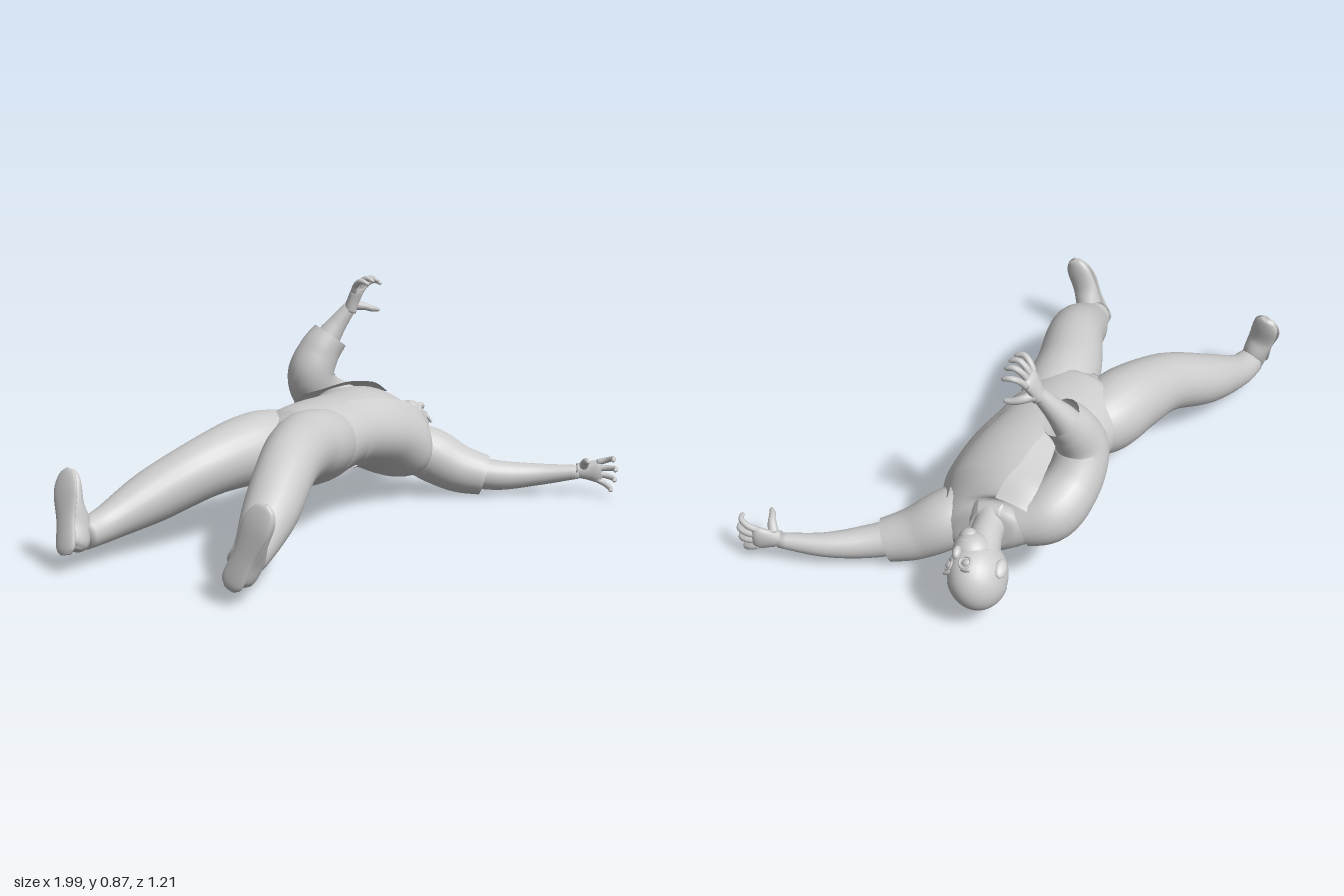
import * as THREE from 'three';

const V = (x, y, z) => new THREE.Vector3(x, y, z);
const material = new THREE.MeshStandardMaterial({ color: 0xcccccc });
const openMaterial = new THREE.MeshStandardMaterial({ color: 0xcccccc, side: THREE.DoubleSide });

// Elliptical sections [x, y, z, halfWidth, halfHeight, roll] joined along a smooth path.
// up: direction of the section height; arc: opened section [from, to]; lift: flare at arc edges.
function loft(sections, { up = V(0, 1, 0), sides = 24, steps = 6, arc = null, lift = 0, open = false } = {}) {
  const path = new THREE.CatmullRomCurve3(sections.map(s => V(s[0], s[1], s[2])), false, 'catmullrom', 0.5);
  const size = new THREE.CatmullRomCurve3(
    sections.map(s => V(s[3], s[4] ?? s[3], s[5] ?? 0)), false, 'catmullrom', 0.5);
  const rows = (sections.length - 1) * steps;
  const cols = arc ? sides + 1 : sides;
  const [from, to] = arc ?? [0, Math.PI * 2];
  const positions = [], index = [];
  for (let i = 0; i <= rows; i++) {
    const t = i / rows, c = path.getPoint(t), T = path.getTangent(t), r = size.getPoint(t);
    const S = T.clone().cross(up).normalize();
    const H = S.clone().cross(T);
    const W = S.clone().multiplyScalar(Math.cos(r.z)).addScaledVector(H, -Math.sin(r.z));
    const N = H.clone().multiplyScalar(Math.cos(r.z)).addScaledVector(S, Math.sin(r.z));
    for (let j = 0; j < cols; j++) {
      const k = j / sides, a = from + (to - from) * k;
      const e = lift * Math.abs(2 * k - 1) ** 8;
      const p = c.clone().addScaledVector(W, (r.x + e) * Math.cos(a)).addScaledVector(N, (r.y + e) * Math.sin(a));
      positions.push(p.x, p.y, p.z);
    }
  }
  for (let i = 0; i < rows; i++) {
    for (let j = 0; j < sides; j++) {
      const n = (j + 1) % cols;
      const a = i * cols + j, b = i * cols + n, c = a + cols, d = b + cols;
      index.push(a, c, b, b, c, d);
    }
  }
  if (!arc && !open) {
    const start = positions.length / 3, last = rows * cols;
    for (const s of [sections[0], sections[sections.length - 1]]) positions.push(s[0], s[1], s[2]);
    for (let j = 0; j < sides; j++) {
      const n = (j + 1) % sides;
      index.push(start, j, n, start + 1, last + n, last + j);
    }
  }
  const g = new THREE.BufferGeometry();
  g.setAttribute('position', new THREE.Float32BufferAttribute(positions, 3));
  g.setIndex(index);
  g.computeVertexNormals();
  return g;
}

function add(parent, name, geometry, mat = material) {
  const mesh = new THREE.Mesh(geometry, mat);
  mesh.name = name;
  parent.add(mesh);
  return mesh;
}

function ball(parent, name, pos, scale) {
  const mesh = add(parent, name, new THREE.SphereGeometry(1, 28, 20));
  mesh.position.set(...pos);
  mesh.scale.set(...scale);
  return mesh;
}

// Group whose y runs along 'along' and whose z leans toward 'facing'
function placed(name, origin, along, facing) {
  const g = new THREE.Group();
  const y = along.clone().normalize();
  const x = y.clone().cross(facing).normalize();
  g.quaternion.setFromRotationMatrix(new THREE.Matrix4().makeBasis(x, y, x.clone().cross(y)));
  g.position.copy(origin);
  g.name = name;
  return g;
}

// Half-closed hand: fingers along y, palm facing z, thumb on side s
function makeHand(name, origin, along, facing, s) {
  const hand = placed(name, origin, along, facing);
  hand.scale.setScalar(1.1);
  add(hand, 'palm', loft([
    [0, -0.02, 0, 0.026, 0.024], [0, 0.02, 0, 0.034, 0.02],
    [0, 0.055, 0.002, 0.042, 0.017], [0, 0.072, 0.005, 0.034, 0.011]], { up: V(0, 0, 1), sides: 16 }));
  [0.9, 1.05, 1, 0.8].forEach((len, i) => {
    const x = s * (0.032 - i * 0.021), fan = s * (0.022 - i * 0.016);
    add(hand, 'finger', loft([
      [x, 0.055, 0.002, 0.011], [x + fan * 0.5, 0.055 + 0.035 * len, 0.008, 0.0105],
      [x + fan, 0.055 + 0.06 * len, 0.026, 0.0095], [x + fan, 0.055 + 0.06 * len, 0.052, 0.007],
      [x + fan, 0.055 + 0.056 * len, 0.058, 0.001]], { up: V(1, 0, 0), sides: 10, steps: 4 }));
  });
  add(hand, 'thumb', loft([
    [s * 0.016, 0.005, 0.004, 0.018], [s * 0.04, 0.012, 0.03, 0.014],
    [s * 0.05, 0.014, 0.06, 0.011], [s * 0.052, 0.02, 0.083, 0.007],
    [s * 0.052, 0.022, 0.088, 0.001]], { up: V(1, 0, 0), sides: 10, steps: 4 }));
  return hand;
}

// Shoe from heel to toe, with a flat sole facing -x
function makeShoe(name, heel, toe) {
  const shoe = new THREE.Group();
  shoe.name = name;
  const at = (t, dx, w, h) => {
    const p = heel.clone().lerp(toe, t);
    return [p.x + dx, p.y, p.z, w, h];
  };
  const opts = { up: V(1, 0, 0), sides: 20 };
  add(shoe, 'upper', loft([at(-0.1, 0, 0.025, 0.025), at(0, 0.005, 0.045, 0.052), at(0.25, 0.008, 0.048, 0.056),
    at(0.55, -0.014, 0.052, 0.037), at(0.85, -0.02, 0.052, 0.026), at(1, -0.022, 0.032, 0.016),
    at(1.04, -0.022, 0.006, 0.004)], opts));
  add(shoe, 'sole', loft([at(-0.12, -0.04, 0.025, 0.01), at(0, -0.042, 0.046, 0.014), at(0.35, -0.04, 0.045, 0.014),
    at(0.75, -0.04, 0.058, 0.013), at(0.98, -0.032, 0.04, 0.011), at(1.06, -0.028, 0.006, 0.004)], opts));
  return shoe;
}

function makeHead() {
  const head = placed('head', V(0.79, 0.19, -0.305), V(0.86, -0.42, -0.28), V(0.5, 0.75, 0.43));
  ball(head, 'skull', [0, 0, 0], [0.095, 0.12, 0.114]);
  ball(head, 'jaw', [0, -0.06, 0.05], [0.068, 0.068, 0.068]);
  ball(head, 'chin', [0, -0.1, 0.085], [0.034, 0.03, 0.028]);
  ball(head, 'nose', [0, -0.025, 0.117], [0.014, 0.024, 0.016]);
  ball(head, 'mouth', [0, -0.068, 0.108], [0.028, 0.009, 0.012]);
  // Close-fitting cap over the crown
  const cap = add(head, 'cap', new THREE.SphereGeometry(1, 32, 14, 0, Math.PI * 2, 0, 1.25), openMaterial);
  cap.scale.set(0.098, 0.123, 0.117);
  cap.rotation.x = -0.25;
  for (const s of [-1, 1]) {
    ball(head, 'eye', [s * 0.037, 0.01, 0.099], [0.018, 0.014, 0.012]);
    const rim = add(head, 'eyeRim', new THREE.TorusGeometry(0.021, 0.004, 8, 24));
    rim.position.set(s * 0.037, 0.01, 0.104);
    rim.rotation.y = s * 0.35;
    ball(head, 'brow', [s * 0.037, 0.036, 0.097], [0.025, 0.007, 0.01]).rotation.z = s * 0.15;
    const ear = ball(head, 'ear', [s * 0.098, -0.01, -0.005], [0.012, 0.034, 0.022]);
    ear.rotation.y = -s * 0.4;
  }
  return head;
}

export function createModel() {
  const body = new THREE.Group();
  body.name = 'recliningFigure';

  // Torso, rolled so one shoulder lies lower than the other
  const trunk = [
    [-0.17, 0.325, -0.2, 0.1, 0.08, -0.1], [-0.1, 0.31, -0.2, 0.175, 0.14, -0.1],
    [-0.02, 0.306, -0.2, 0.2, 0.153, -0.1],
    [0.08, 0.315, -0.205, 0.202, 0.146, -0.08], [0.2, 0.318, -0.203, 0.196, 0.138, 0],
    [0.35, 0.303, -0.203, 0.216, 0.148, 0.15], [0.48, 0.26, -0.22, 0.25, 0.152, 0.35],
    [0.58, 0.233, -0.225, 0.222, 0.118, 0.42], [0.64, 0.24, -0.235, 0.1, 0.07, 0.4]];
  add(body, 'torso', loft(trunk, { sides: 40 }));
  // Open jacket wrapped around the back and sides
  const jacket = trunk.slice(4, 8).map(([x, y, z, w, h, r]) => [x, y, z, w + 0.008, h + 0.008, r]);
  jacket.unshift([0.12, 0.317, -0.205, 0.206, 0.15, -0.05]);
  add(body, 'jacket', loft(jacket, { sides: 40, arc: [2.0, 7.3], lift: 0.014 }), openMaterial);

  // Neck, collar and head
  add(body, 'neck', loft([
    [0.53, 0.27, -0.23, 0.09, 0.075], [0.61, 0.262, -0.245, 0.06, 0.06],
    [0.68, 0.252, -0.265, 0.058, 0.062], [0.76, 0.22, -0.295, 0.07, 0.08]]));
  add(body, 'collar', loft([[0.57, 0.262, -0.233, 0.1, 0.085], [0.61, 0.26, -0.24, 0.074, 0.07],
    [0.63, 0.257, -0.25, 0.066, 0.065]], { arc: [2.0, 7.3], lift: 0.006 }), openMaterial);
  body.add(makeHead());

  // Trouser legs, tapering into the hips, and shoes
  add(body, 'leftLeg', loft([
    [0.12, 0.32, -0.15, 0.08], [0.02, 0.322, -0.122, 0.118], [-0.08, 0.335, -0.1, 0.13],
    [-0.2, 0.35, -0.07, 0.124], [-0.4, 0.342, 0.02, 0.108], [-0.6, 0.238, 0.1, 0.098],
    [-0.75, 0.155, 0.15, 0.071], [-0.84, 0.13, 0.175, 0.058]]));
  add(body, 'rightLeg', loft([
    [0.12, 0.31, -0.27, 0.08], [0.02, 0.302, -0.288, 0.115], [-0.08, 0.3, -0.31, 0.134],
    [-0.2, 0.303, -0.33, 0.132], [-0.4, 0.272, -0.37, 0.112], [-0.6, 0.196, -0.447, 0.097],
    [-0.78, 0.135, -0.492, 0.066], [-0.9, 0.115, -0.5, 0.053]]));
  body.add(makeShoe('leftShoe', V(-0.865, 0.09, 0.185), V(-0.835, 0.34, 0.29)));
  body.add(makeShoe('rightShoe', V(-0.945, 0.1, -0.495), V(-0.87, 0.335, -0.562)));

  // Left arm stretched out along the ground
  add(body, 'leftSleeve', loft([
    [0.47, 0.23, -0.13, 0.08], [0.58, 0.172, -0.05, 0.106], [0.65, 0.11, 0.045, 0.096],
    [0.712, 0.08, 0.135, 0.08]], { open: true }), openMaterial);
  add(body, 'leftForearm', loft([
    [0.64, 0.11, 0.04, 0.066], [0.74, 0.08, 0.17, 0.06], [0.845, 0.08, 0.3, 0.044],
    [0.928, 0.096, 0.445, 0.027]]));
  body.add(makeHand('leftHand', V(0.932, 0.102, 0.455), V(0.5, 0, 0.87), V(-0.87, 0, 0.5), -1));

  // Right arm with the elbow bent and the hand raised
  add(body, 'rightSleeve', loft([
    [0.58, 0.28, -0.34, 0.085], [0.51, 0.315, -0.42, 0.105], [0.4, 0.385, -0.445, 0.1],
    [0.335, 0.48, -0.44, 0.093], [0.36, 0.57, -0.42, 0.083], [0.4, 0.635, -0.392, 0.073]],
  { up: V(0, 0, 1), open: true }), openMaterial);
  add(body, 'rightForearm', loft([
    [0.345, 0.5, -0.44, 0.064], [0.385, 0.61, -0.405, 0.053], [0.42, 0.68, -0.373, 0.038],
    [0.455, 0.748, -0.335, 0.026]], { up: V(0, 0, 1) }));
  body.add(makeHand('rightHand', V(0.457, 0.75, -0.332), V(0.22, 0.94, 0.26), V(0.15, -0.25, 0.9), 1));

  return body;
}
